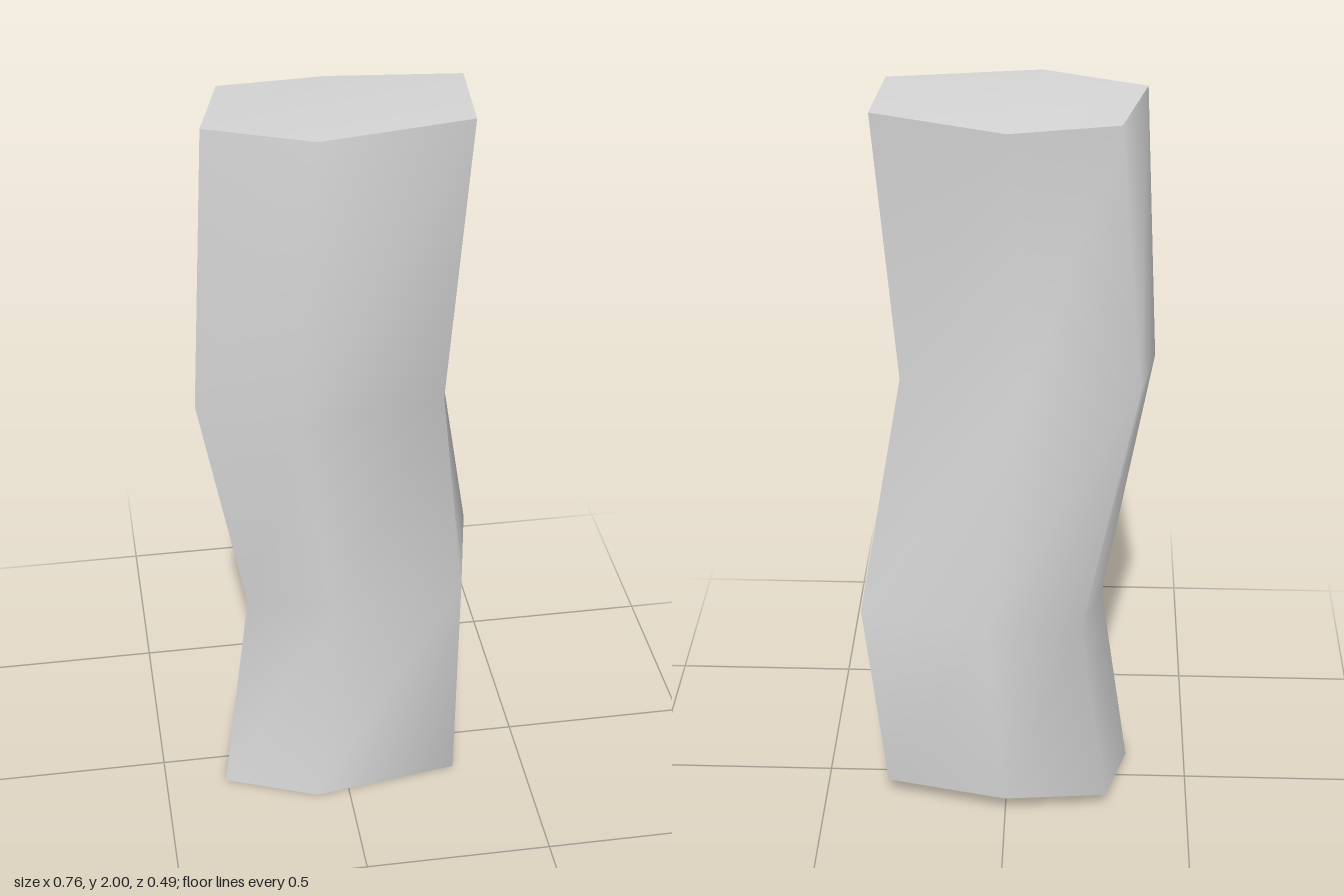
import * as THREE from 'three';

// Six-cornered cross-sections [x, y, z], bottom to top, counterclockwise from above
const RINGS = [
  [[-0.335, 0, 0.1], [-0.09, 0, 0.2], [0.305, 0, 0.14], [0.325, 0.06, -0.125], [0, 0.06, -0.2], [-0.275, 0.05, -0.16]],
  [[-0.255, 0.58, 0.05], [-0.03, 0.6, 0.15], [0.322, 0.6, 0.09], [0.38, 0.64, -0.17], [0.05, 0.64, -0.245], [-0.2, 0.62, -0.2]],
  [[-0.38, 1.26, 0.125], [-0.137, 1.24, 0.242], [0.24, 1.26, 0.177], [0.27, 1.28, -0.08], [-0.055, 1.3, -0.16], [-0.338, 1.28, -0.125]],
  [[-0.34, 2, 0.098], [-0.08, 2, 0.21], [0.305, 2, 0.142], [0.325, 2, -0.115], [-0.005, 1.98, -0.195], [-0.275, 1.99, -0.155]],
];

function build(points, index) {
  const geometry = new THREE.BufferGeometry();
  geometry.setAttribute('position', new THREE.Float32BufferAttribute(points.flat(), 3));
  geometry.setIndex(index);
  geometry.computeVertexNormals();
  return geometry;
}

// Smooth skin over the chosen corners, with a sharp edge at its two sides
function skin(corners) {
  const n = corners.length;
  const points = RINGS.flatMap((ring) => corners.map((c) => ring[c]));
  const index = [];
  for (let r = 0; r < RINGS.length - 1; r++) {
    for (let i = 0; i < n - 1; i++) {
      const a = r * n + i, b = a + 1;
      index.push(a, b, b + n, a, b + n, a + n);
    }
  }
  return build(points, index);
}

// Fan that closes one end
function cap(ring, up) {
  const index = [];
  for (let i = 1; i < ring.length - 1; i++) {
    index.push(0, ...(up ? [i, i + 1] : [i + 1, i]));
  }
  return build(ring, index);
}

export function createModel() {
  const group = new THREE.Group();
  group.name = 'bentColumn';
  const grey = new THREE.MeshStandardMaterial({ color: 0xd6d6d6 });
  grey.name = 'light stone grey';

  const add = (name, geometry) => {
    const mesh = new THREE.Mesh(geometry, grey);
    mesh.name = name;
    group.add(mesh);
  };
  add('frontSide', skin([0, 1, 2, 3]));
  add('backSide', skin([3, 4, 5, 0]));
  add('topCap', cap(RINGS[RINGS.length - 1], true));
  add('bottomCap', cap(RINGS[0], false));
  return group;
}
